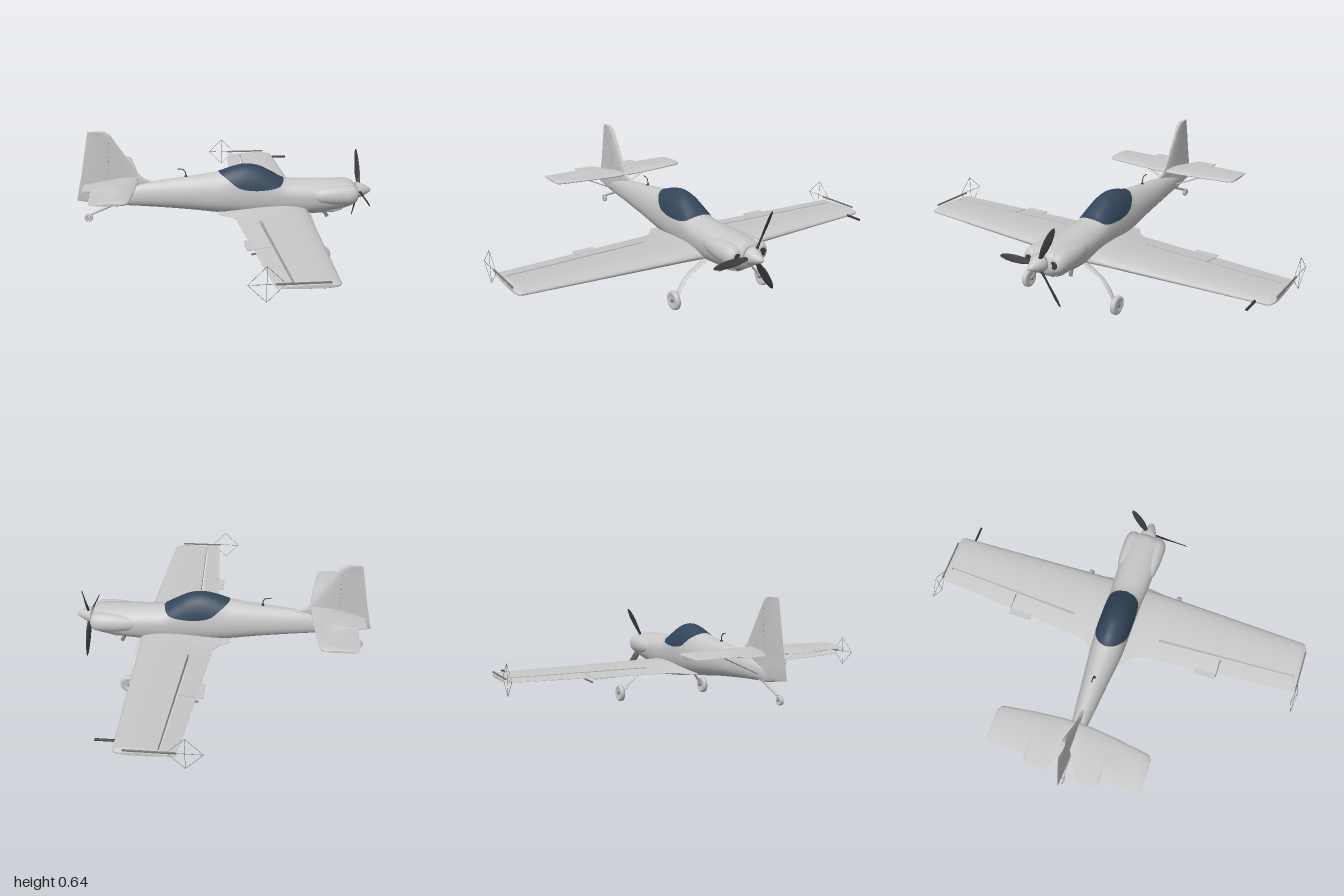
import * as THREE from 'three';
import { toCreasedNormals } from 'three/addons/utils/BufferGeometryUtils.js';

const V = (x, y, z) => new THREE.Vector3(x, y, z);

export function createModel() {
  const model = new THREE.Group();
  model.name = 'aerobaticPlane';
  const colour = (name, hex) => {
    const m = new THREE.MeshStandardMaterial({ color: hex });
    m.name = name;
    return m;
  };
  const paint = colour('lightGreyPaint', 0xc8c8c8);
  const glass = colour('tintedGlass', 0x33465a);
  const dark = colour('darkGrey', 0x3c3c3c);
  const metal = colour('midGrey', 0x808080);

  const add = (name, geo, mat = paint, pos) => {
    const m = new THREE.Mesh(geo, mat);
    m.name = name;
    if (pos) m.position.set(...pos);
    model.add(m);
    return m;
  };

  // Closed skin over equal-length rings, capped at both ends and always facing outward
  function loft(rings, crease = 0.7) {
    const n = rings[0].length, pts = rings.flat(), idx = [];
    for (let i = 0; i < rings.length - 1; i++) for (let j = 0; j < n; j++) {
      const a = i * n + j, b = i * n + (j + 1) % n;
      idx.push(a, b, a + n, b, b + n, a + n);
    }
    [0, rings.length - 1].forEach((r, end) => {
      const c = pts.length;
      pts.push(rings[r].reduce((s, p) => s.add(p), V(0, 0, 0)).divideScalar(n));
      for (let j = 0; j < n; j++) {
        const a = r * n + j, b = r * n + (j + 1) % n;
        idx.push(c, end ? a : b, end ? b : a);
      }
    });
    let volume = 0;
    for (let i = 0; i < idx.length; i += 3) {
      volume += pts[idx[i]].dot(pts[idx[i + 1]].clone().cross(pts[idx[i + 2]]));
    }
    if (volume < 0) idx.reverse();
    const g = new THREE.BufferGeometry().setFromPoints(pts);
    g.setIndex(idx);
    return toCreasedNormals(g, crease);
  }

  // Smooth interpolation of a table keyed by its first column
  function sample(t, x) {
    let i = 0;
    while (i < t.length - 2 && x > t[i + 1][0]) i++;
    const a = t[i], b = t[i + 1], p = t[Math.max(i - 1, 0)], q = t[Math.min(i + 2, t.length - 1)];
    const h = b[0] - a[0], u = (x - a[0]) / h, u2 = u * u, u3 = u2 * u;
    return a.map((v, k) => {
      const m0 = (b[k] - p[k]) / (b[0] - p[0]) * h, m1 = (q[k] - v) / (q[0] - a[0]) * h;
      return (2 * u3 - 3 * u2 + 1) * v + (u3 - 2 * u2 + u) * m0 + (3 * u2 - 2 * u3) * b[k] + (u3 - u2) * m1;
    });
  }

  // Aerofoil panel; station = [span, leading x, trailing x, centre, thickness], from..to = chord fractions
  function foil(stations, place, from = 0, to = 1) {
    const N = 14;
    return loft(stations.map(([s, le, te, mid, T]) => {
      const ring = [];
      for (let k = 0; k < 2 * N; k++) {
        const up = k < N, f = (up ? k : 2 * N - 1 - k) / (N - 1);
        const c = from + (to - from) * (from ? f : f * f);
        const t = 5 * T * (0.2969 * Math.sqrt(c) - 0.126 * c - 0.3516 * c * c + 0.2843 * c ** 3 - 0.1015 * c ** 4);
        ring.push(place(le + (te - le) * c, mid + (up ? t : -t) - (up ? 0 : 0.0008), s));
      }
      return ring;
    }), 0.6);
  }

  const rod = (name, a, b, r, mat = paint, r2 = r) => {
    const d = b.clone().sub(a);
    const m = add(name, new THREE.CylinderGeometry(r2, r, d.length(), 10), mat);
    m.position.copy(a).addScaledVector(d, 0.5);
    m.quaternion.setFromUnitVectors(V(0, 1, 0), d.normalize());
    return m;
  };

  // Fuselage: x, bottom, top, half width, height of widest point
  const body = [
    [-0.62, 0.258, 0.32, 0.010, 0.29], [-0.53, 0.253, 0.345, 0.026, 0.30], [-0.4, 0.243, 0.374, 0.045, 0.305],
    [-0.2, 0.222, 0.398, 0.066, 0.305], [-0.04, 0.2, 0.42, 0.083, 0.305], [0.03, 0.192, 0.442, 0.086, 0.305],
    [0.1, 0.183, 0.454, 0.087, 0.305], [0.17, 0.178, 0.441, 0.087, 0.305], [0.24, 0.175, 0.405, 0.088, 0.3],
    [0.295, 0.174, 0.374, 0.089, 0.295], [0.4, 0.177, 0.366, 0.095, 0.29], [0.5, 0.186, 0.363, 0.098, 0.29],
    [0.6, 0.203, 0.358, 0.098, 0.29], [0.645, 0.216, 0.352, 0.095, 0.29], [0.67, 0.232, 0.34, 0.082, 0.29],
    [0.68, 0.25, 0.32, 0.06, 0.29]];
  const skin = (x, a, grow = 0) => {
    const [, bot, top, w, mid] = sample(body, x);
    const c = Math.cos(a), low = c < 0;
    const y = low ? mid - (mid - bot) * Math.abs(c) ** 0.85 : mid + (top - mid + grow) * c;
    return V(x, y, (w + grow) * Math.sin(a));
  };
  const span = (n, f) => Array.from({ length: n + 1 }, (_, i) => f(i / n));
  add('fuselage', loft(span(90, u => span(47, k => skin(-0.62 + 1.3 * u, k * Math.PI * 2 * 47 / 48)))));

  // Canopy: glass lying on the fuselage skin above the sill line
  const sill = [[-0.045, 0.419], [0, 0.39], [0.05, 0.352], [0.1, 0.338], [0.17, 0.334], [0.265, 0.347], [0.297, 0.374]];
  add('canopy', loft(span(50, u => {
    const x = -0.045 + 0.342 * u, [, , top, , mid] = sample(body, x);
    const edge = Math.acos(THREE.MathUtils.clamp((sample(sill, x)[1] - mid) / (top - mid), -1, 1));
    return span(24, k => skin(x, edge * (2 * k - 1), 0.0025));
  })), glass);

  // Chin scoop
  const scoop = [[0.38, 0.19, 0.012, 0.012], [0.46, 0.196, 0.035, 0.019], [0.56, 0.2, 0.04, 0.021], [0.61, 0.208, 0.036, 0.016]];
  const oval = (x, y, z, ry, rz) => span(23, k => V(x, y + ry * Math.cos(k * 6.0214), z + rz * Math.sin(k * 6.0214)));
  add('chinScoop', loft(scoop.map(([x, y, w, h]) => oval(x, y, 0, h, w))));
  add('scoopOpening', loft([0.609, 0.612].map(x => oval(x, 0.208, 0, 0.011, 0.029))), dark);

  // Spinner and three-bladed propeller
  const nose = new THREE.LatheGeometry([[0, 0], [0.043, 0], [0.043, 0.012], [0.038, 0.03], [0.029, 0.05], [0.018, 0.07], [0.009, 0.083], [0, 0.088]]
    .map(p => new THREE.Vector2(...p)), 32);
  nose.rotateZ(-Math.PI / 2);
  add('spinner', nose, paint, [0.679, 0.295, 0]);
  const blade = [[0.02, 0.008, 0.008, 0.9], [0.05, 0.011, 0.006, 0.9], [0.09, 0.017, 0.004, 0.7],
    [0.14, 0.018, 0.003, 0.5], [0.18, 0.015, 0.0025, 0.4], [0.21, 0.009, 0.002, 0.35], [0.22, 0.003, 0.001, 0.35]];
  const bladeGeo = loft(blade.map(([r, w, t, tw]) => span(15, k => {
    const a = k * Math.PI * 2 * 15 / 16, z = w * Math.cos(a), x = t * Math.sin(a);
    return V(x * Math.cos(tw) + z * Math.sin(tw), r, z * Math.cos(tw) - x * Math.sin(tw));
  })));
  for (let i = 0; i < 3; i++) {
    add('propellerBlade', bladeGeo, dark, [0.701, 0.295, 0]).rotation.x = -(27 + 120 * i) * Math.PI / 180;
  }

  // Fin and rudder with hinge marks
  const fin = [[0.257, -0.55, -0.62], [0.285, -0.5, -0.77], [0.35, -0.45, -0.757], [0.374, -0.375, -0.752],
    [0.39, -0.422, -0.748], [0.42, -0.455, -0.741], [0.6, -0.572, -0.708], [0.625, -0.588, -0.703], [0.643, -0.615, -0.699]];
  add('finAndRudder', foil(fin.map(f => [...f, 0, 0.021]), (x, t, y) => V(x, y, t)));
  for (let y = 0.44; y < 0.61; y += 0.025) add('hingeMark', new THREE.BoxGeometry(0.003, 0.007, 0.0225), metal, [-0.598 - 0.03 * (0.6 - y), y, 0]);

  // Wheel with a recessed hub, axle along z
  const wheel = (name, r, w, pos) => {
    const prof = [[0, -0.3], [0.45, -0.3], [0.55, -0.45], [0.8, -0.5], [0.95, -0.35], [1, 0], [0.95, 0.35], [0.8, 0.5], [0.55, 0.45], [0.45, 0.3], [0, 0.3]];
    const g = new THREE.LatheGeometry(prof.map(([a, b]) => new THREE.Vector2(a * r, b * w)), 32);
    g.rotateX(Math.PI / 2);
    add(name, g, paint, pos);
  };

  const wing = [[0, 0.42, -0.05, 0.212, 0.078], [0.085, 0.415, -0.05, 0.212, 0.072], [0.12, 0.413, 0.0, 0.213, 0.068],
    [0.16, 0.411, 0.03, 0.214, 0.064], [0.24, 0.408, 0.037, 0.215, 0.06], [0.97, 0.378, 0.1, 0.225, 0.034],
    [0.985, 0.371, 0.101, 0.226, 0.026], [0.994, 0.352, 0.102, 0.226, 0.016]];
  const wingAt = z => {
    const a = wing[4], b = wing[5], u = (z - a[0]) / (b[0] - a[0]);
    return a.map((v, k) => v + (b[k] - v) * u);
  };
  const tail = [[0, -0.458, -0.59], [0.015, -0.458, -0.61], [0.08, -0.459, -0.725], [0.188, -0.47, -0.73], [0.19, -0.47, -0.687],
    [0.36, -0.494, -0.685], [0.385, -0.502, -0.683], [0.398, -0.525, -0.675]];

  for (const s of [1, -1]) {
    const side = s > 0 ? 'right' : 'left';
    const flat = (x, y, z) => V(x, y, z * s);

    // Wing panels with the open slot ahead of flap and aileron
    add(side + 'WingRoot', foil(wing.slice(0, 5), flat));
    add(side + 'WingPanel', foil([wing[4], wing[5]], flat, 0, 0.7));
    add(side + 'Flap', foil([wing[4], wingAt(0.577)], flat, 0.74, 1));
    add(side + 'Aileron', foil([wingAt(0.582), wing[5]], flat, 0.74, 1));
    add(side + 'WingTip', foil(wing.slice(5), flat));
    add(side + 'TrimTab', new THREE.BoxGeometry(0.05, 0.004, 0.115), paint, [0.059, 0.218, 0.52 * s]);
    add(side + 'TabHorn', new THREE.BoxGeometry(0.1, 0.008, 0.006), metal, [0.105, 0.2, 0.58 * s]);

    // Sighting frame on the wing tip
    const zt = 0.997 * s, corner = k => V(0.063 + 0.079 * Math.cos(k * Math.PI / 2), 0.246 + 0.079 * Math.sin(k * Math.PI / 2), zt);
    for (let k = 0; k < 4; k++) rod('sightFrame', corner(k), corner(k + 1), 0.001, metal);
    rod('sightPost', corner(1), corner(3), 0.001, metal);
    rod('sightBar', V(-0.016, 0.246, zt), V(0.1, 0.246, zt), 0.0012, metal);
    add('sightMount', new THREE.BoxGeometry(0.23, 0.008, 0.006), metal, [0.215, 0.244, 0.995 * s]);

    // Tailplane and its brace
    add(side + 'Tailplane', foil(tail.map(t => [...t, 0.394, t[0] > 0.39 ? 0.01 : 0.021]), flat));
    add(side + 'TailBrace', loft([[0.02, 0.29, -0.565, 0.007], [0.22, 0.386, -0.555, 0.014]].map(([z, y, x, w]) =>
      span(11, k => V(x + w * Math.cos(k * 5.7596), y + 0.004 * Math.sin(k * 5.7596), z * s)))));

    // Engine cheek and intake
    const cheek = [[0.405, 0.008], [0.43, 0.022], [0.48, 0.036], [0.54, 0.043], [0.62, 0.045], [0.65, 0.042], [0.668, 0.034], [0.676, 0.024]];
    add(side + 'EngineCheek', loft(cheek.map(([x, r]) => oval(x, 0.293, 0.07 * s, r * 1.15, r))));
    add(side + 'Intake', loft([0.672, 0.678].map(x => oval(x, 0.295, 0.072 * s, 0.02, 0.018))), dark);
    rod('exhaustPipe', V(0.5, 0.215, 0.045 * s), V(0.525, 0.172, 0.05 * s), 0.009, metal);

    // Sprung main leg and wheel
    const path = new THREE.CatmullRomCurve3([V(0.415, 0.195, 0.06), V(0.42, 0.178, 0.1), V(0.428, 0.145, 0.165), V(0.438, 0.1, 0.215), V(0.449, 0.045, 0.25)]);
    add(side + 'MainLeg', loft(span(20, u => {
      const p = path.getPoint(u), t = path.getTangent(u), w = 0.021 - 0.011 * u;
      const n = V(0, -t.z, t.y).normalize();
      return span(11, k => {
        const a = k * 5.7596, q = p.clone().addScaledVector(n, 0.005 * Math.sin(a));
        return V(q.x + w * Math.cos(a), q.y, q.z * s);
      });
    })));
    wheel(side + 'MainWheel', 0.047, 0.027, [0.452, 0.047, 0.263 * s]);
    rod('axle', V(0.452, 0.047, 0.24 * s), V(0.452, 0.047, 0.278 * s), 0.008, metal);
  }

  // Tail wheel
  rod('tailLeg', V(-0.58, 0.262, 0), V(-0.705, 0.208, 0), 0.009, paint, 0.006);
  rod('tailFork', V(-0.705, 0.21, 0), V(-0.718, 0.19, 0.014), 0.005);
  rod('tailAxle', V(-0.718, 0.19, -0.014), V(-0.718, 0.19, 0.014), 0.004, metal);
  wheel('tailWheel', 0.022, 0.017, [-0.718, 0.19, 0]);

  // Air data probe on the left wing and bent antenna on the spine
  rod('airProbe', V(0.36, 0.225, -0.915), V(0.465, 0.225, -0.915), 0.006, dark);
  const whip = new THREE.CatmullRomCurve3([V(-0.212, 0.39, 0), V(-0.214, 0.42, 0), V(-0.225, 0.434, 0), V(-0.255, 0.439, 0)]);
  add('antenna', new THREE.TubeGeometry(whip, 16, 0.0025, 8), dark);
  add('antennaBase', new THREE.CylinderGeometry(0.006, 0.008, 0.008, 12), dark, [-0.212, 0.399, 0]);

  return model;
}
